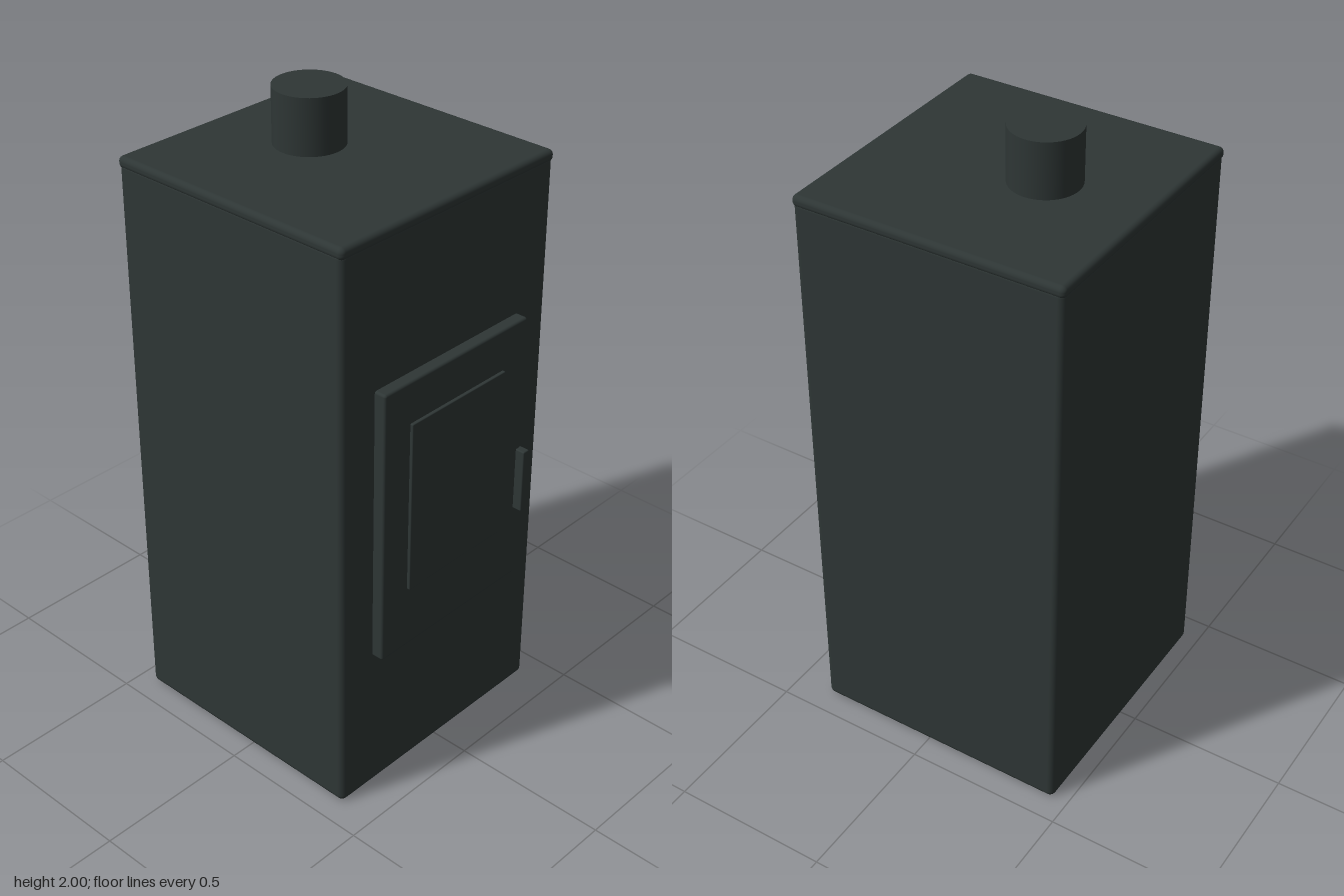
import * as THREE from 'three';
import { RoundedBoxGeometry } from 'three/addons/geometries/RoundedBoxGeometry.js';

export function createModel() {
  const model = new THREE.Group();
  model.name = 'woodStove';
  const castIron = new THREE.MeshStandardMaterial({ color: 0x2e3635 });
  castIron.name = 'castIron';

  const add = (name, geometry, x, y, z) => {
    const mesh = new THREE.Mesh(geometry, castIron);
    mesh.name = name;
    mesh.position.set(x, y, z);
    model.add(mesh);
  };

  // Rounded block given by its limits on each axis
  const block = (name, [x0, x1], [y0, y1], [z0, z1], radius) =>
    add(name, new RoundedBoxGeometry(x1 - x0, y1 - y0, z1 - z0, 4, radius),
      (x0 + x1) / 2, (y0 + y1) / 2, (z0 + z1) / 2);

  // Cabinet and its top plate
  block('body', [-0.425, 0.425], [0, 1.815], [-0.453, 0.385], 0.02);
  block('topPlate', [-0.427, 0.427], [1.793, 1.83], [-0.455, 0.387], 0.016);

  // Fire door on the front
  block('door', [-0.299, 0.299], [0.485, 1.37], [0.375, 0.423], 0.008);
  block('doorWindow', [-0.197, 0.197], [0.688, 1.24], [0.41, 0.433], 0.003);
  block('doorHandle', [0.277, 0.302], [0.73, 0.938], [0.418, 0.453], 0.004);

  // Flue pipe, set back from the middle
  add('fluePipe', new THREE.CylinderGeometry(0.105, 0.105, 0.18, 48), 0, 1.91, -0.137);

  return model;
}
